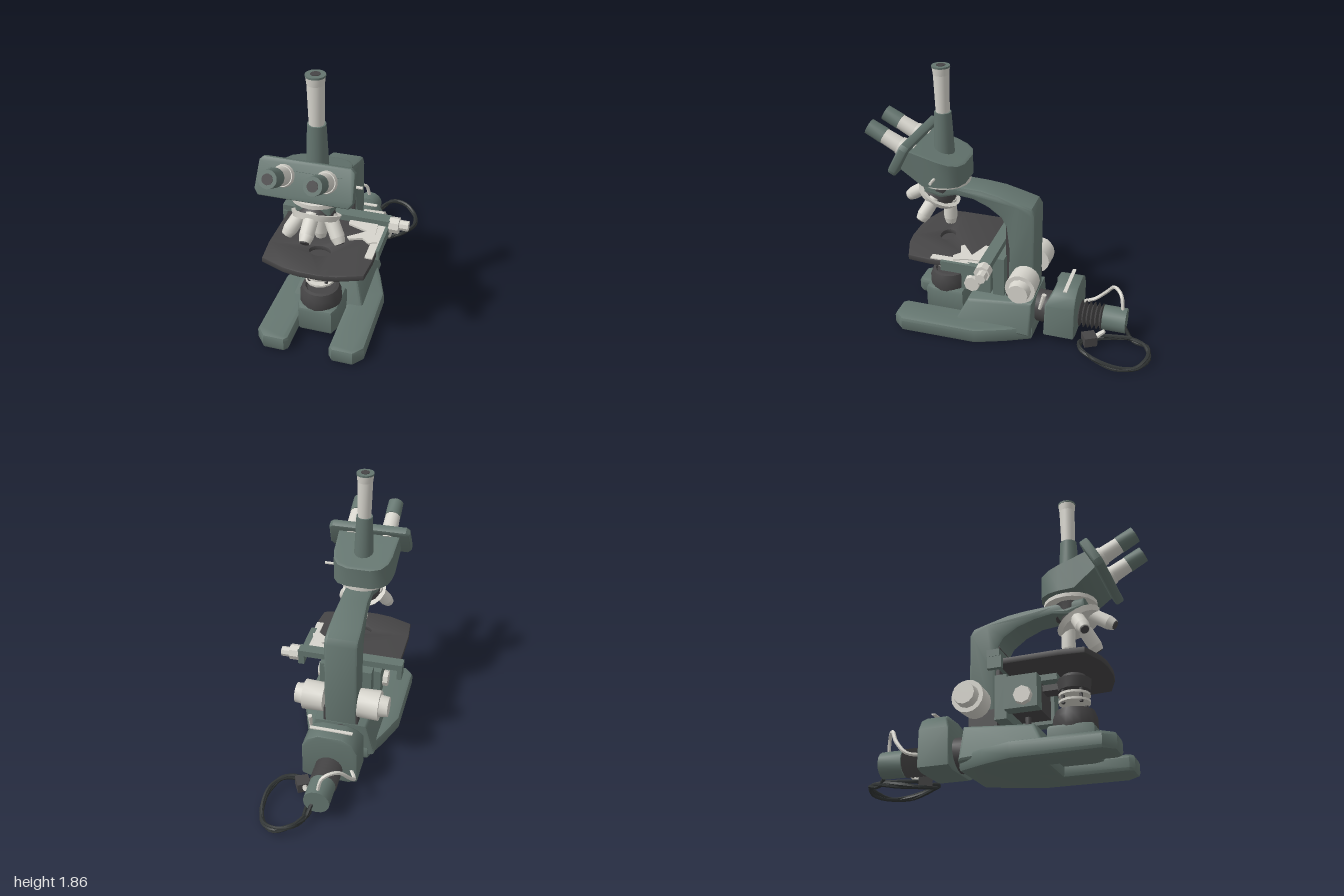
import * as THREE from 'three';
import { toCreasedNormals } from 'three/addons/utils/BufferGeometryUtils.js';

const paint = (name, color) => Object.assign(new THREE.MeshStandardMaterial({ color }), { name });

export function createModel() {
  const green = paint('enamel green', 0x64756f);
  const dark = paint('dark grey', 0x464546);
  const light = paint('pale metal', 0xd6d4cc);
  const black = paint('cable black', 0x303434);

  const model = new THREE.Group();
  model.name = 'microscope';
  const body = new THREE.Group();
  body.name = 'body';
  body.position.x = -0.055; // optical axis sits left of the overall centre
  model.add(body);

  const V = (x, y, z) => new THREE.Vector3(x, y, z);
  const add = (name, geo, mat, x = 0, y = 0, z = 0) => {
    const m = new THREE.Mesh(toCreasedNormals(geo, 0.7), mat);
    m.name = name;
    m.position.set(x, y, z);
    body.add(m);
    return m;
  };
  // box from its minimum and maximum corners
  const box = (name, mat, x0, x1, y0, y1, z0, z1) => add(name,
    new THREE.BoxGeometry(x1 - x0, y1 - y0, z1 - z0), mat, (x0 + x1) / 2, (y0 + y1) / 2, (z0 + z1) / 2);
  // tapered cylinder between two points
  const rod = (name, mat, a, b, r0, r1 = r0, seg = 14) => {
    const d = b.clone().sub(a);
    const m = add(name, new THREE.CylinderGeometry(r1, r0, d.length(), seg), mat);
    m.position.copy(a).addScaledVector(d, 0.5);
    m.quaternion.setFromUnitVectors(V(0, 1, 0), d.normalize());
    return m;
  };
  const shape = pts => new THREE.Shape(pts.map(p => new THREE.Vector2(...p)));
  const mirror = pts => [...pts, ...pts.slice().reverse().map(([x, z]) => [-x, z])];
  const extrude = (s, depth, bevel) => new THREE.ExtrudeGeometry(s, {
    depth: depth - 2 * bevel, bevelEnabled: bevel > 0, bevelSize: bevel, bevelThickness: bevel,
    bevelOffset: -bevel, bevelSegments: 2, curveSegments: 12,
  }).translate(0, 0, bevel);
  // (x, z) outline extruded from y0 to y1
  const plan = (s, y0, y1, bevel = 0) => extrude(s, y1 - y0, bevel).rotateX(Math.PI / 2).translate(0, y1, 0);
  // (z, y) outline extruded across x, centred
  const profile = (s, w, bevel = 0) => extrude(s, w, bevel).rotateY(-Math.PI / 2).translate(w / 2, 0, 0);
  const warp = (geo, fn) => {
    const p = geo.attributes.position, v = V(0, 0, 0);
    for (let i = 0; i < p.count; i++) {
      fn(v.fromBufferAttribute(p, i));
      p.setXYZ(i, v.x, v.y, v.z);
    }
    return geo;
  };
  const clamp = THREE.MathUtils.clamp, lerp = THREE.MathUtils.lerp;

  // forked foot
  add('foot', plan(shape(mirror([[0.135, 0.38], [0.135, 0.78], [0.16, 0.81], [0.3, 0.81],
    [0.36, 0.74], [0.355, 0.2], [0.28, 0], [0.2, -0.17]])), 0, 0.11, 0.025), green);
  // raised rear block, narrowing upwards
  add('baseBlock', warp(profile(shape([[0.38, 0.09], [0.3, 0.25], [-0.16, 0.29], [-0.165, 0.05]]), 0.46, 0.02), v => {
    v.x *= lerp(1.08, 0.8, clamp((v.y - 0.1) / 0.18, 0, 1));
  }), green);

  // field lamp in the fork
  add('lampBlock', plan(shape(mirror([[0.135, 0.36], [0.135, 0.58], [0.11, 0.64]])), 0.06, 0.25, 0.025), green);
  add('fieldLens', new THREE.LatheGeometry([[0, 0.2], [0.125, 0.2], [0.137, 0.25], [0.137, 0.31], [0.12, 0.355],
    [0.1, 0.36], [0.09, 0.345], [0, 0.345]].map(p => new THREE.Vector2(...p)), 18), dark, 0, 0, 0.5);

  // curved arm, slimmer along its top
  const armPts = [[-0.155, 0.27], [-0.157, 0.93], [-0.13, 0.975], [-0.04, 1.0], [0.1, 1.04], [0.22, 1.058], [0.4, 1.065],
    [0.62, 1.07], [0.62, 1.0], [0.5, 0.97], [0.4, 0.995], [0.28, 0.98], [0.17, 0.94], [0.08, 0.88], [0.045, 0.82],
    [0.025, 0.65], [0.03, 0.27]];
  add('arm', warp(profile(shape(armPts), 0.23, 0.022), v => {
    v.x *= v.z < 0.35 ? lerp(1, 0.78, clamp(v.z / 0.3, 0, 1)) : lerp(0.78, 1, clamp((v.z - 0.35) / 0.15, 0, 1));
  }), green);
  box('columnPanel', dark, -0.1, 0.1, 0.35, 0.83, 0.025, 0.046);
  box('columnFoot', dark, -0.12, 0.12, 0.28, 0.4, -0.15, 0.04);

  // focus knobs
  for (const s of [-1, 1]) {
    rod('coarseKnob', light, V(s * 0.12, 0.45, -0.1), V(s * 0.265, 0.45, -0.1), 0.1, 0.105, 16);
    rod('fineKnob', light, V(s * 0.26, 0.45, -0.1), V(s * 0.325, 0.45, -0.1), 0.078, 0.07, 12);
    // stage carrier cheeks
    box('carrierCheek', green, Math.min(s * 0.13, s * 0.22), Math.max(s * 0.13, s * 0.22), 0.35, 0.56, 0.12, 0.33);
    rod('condenserKnob', light, V(s * 0.21, 0.42, 0.245), V(s * 0.255, 0.42, 0.245), 0.06, 0.055, 8);
  }
  box('carrier', green, -0.17, 0.17, 0.31, 0.6, 0.04, 0.12);
  box('carrierArm', green, -0.1, 0.1, 0.55, 0.595, 0.1, 0.42);
  rod('carrierPin', dark, V(0, 0.26, 0.2), V(0, 0.36, 0.2), 0.02);
  box('carrierCore', dark, -0.12, 0.12, 0.37, 0.55, 0.1, 0.31);

  // stage with its light opening
  const stage = shape(mirror([[0.34, 0.13], [0.345, 0.5], [0.33, 0.66], [0.17, 0.72], [0.07, 0.735]]));
  const opening = new THREE.Path();
  opening.absellipse(0, 0.5, 0.07, 0.05, 0, Math.PI * 2);
  stage.holes.push(opening);
  add('stage', plan(stage, 0.59, 0.63, 0.006), dark);
  box('stageRail', green, -0.375, 0.365, 0.635, 0.68, 0.07, 0.15);
  box('railEndLeft', green, 0.32, 0.362, 0.57, 0.64, 0.07, 0.42);
  box('railEndRight', green, -0.372, -0.34, 0.56, 0.64, 0.07, 0.16);
  box('stageSlide', light, 0.29, 0.34, 0.632, 0.64, 0.15, 0.5);
  // slide clip
  add('slideClip', plan(shape([[0.1, 0.15], [0.29, 0.15], [0.3, 0.26], [0.33, 0.34], [0.28, 0.36], [0.23, 0.32],
    [0.15, 0.35], [0.13, 0.33], [0.24, 0.24], [0.1, 0.19]]), 0.633, 0.648), light);
  rod('stageKnobInner', light, V(0.36, 0.635, 0.11), V(0.425, 0.635, 0.11), 0.055, 0.055, 8);
  rod('stageKnobOuter', light, V(0.42, 0.635, 0.1), V(0.485, 0.635, 0.1), 0.035, 0.035, 8);

  // condenser
  rod('condenserTop', dark, V(0, 0.55, 0.5), V(0, 0.6, 0.5), 0.095, 0.07);
  rod('condenserBody', dark, V(0, 0.49, 0.5), V(0, 0.56, 0.5), 0.1, 0.11);
  for (const y of [0.41, 0.455]) rod('condenserRing', light, V(0, y, 0.5), V(0, y + 0.015, 0.5), 0.1);
  for (let i = 0; i < 4; i++) {
    const a = (i + 0.5) * Math.PI / 2;
    const x = Math.cos(a) * 0.08, z = 0.5 + Math.sin(a) * 0.08;
    rod('condenserPost', dark, V(x, 0.4, z), V(x, 0.5, z), 0.012, 0.012, 6);
  }
  box('condenserBracket', dark, -0.05, 0.05, 0.5, 0.54, 0.3, 0.43);

  // revolving nosepiece with four objectives
  const tilt = 0.49, hub = V(0, 0.95, 0.555);
  const axis = V(0, -Math.cos(tilt), Math.sin(tilt)), front = V(0, Math.sin(tilt), Math.cos(tilt));
  rod('noseMount', dark, V(0, 1.07, 0.5), V(0, 1.0, 0.51), 0.12, 0.11);
  rod('noseHousing', dark, hub.clone().addScaledVector(axis, -0.07), hub, 0.1, 0.13);
  rod('noseRing', light, hub.clone().addScaledVector(axis, -0.015), hub.clone().addScaledVector(axis, 0.02), 0.155, 0.14, 18);
  for (let i = 0; i < 4; i++) {
    const out = front.clone().multiplyScalar(Math.cos(i * Math.PI / 2)).add(V(Math.sin(i * Math.PI / 2), 0, 0));
    if (i % 2 === 0) out.x = 0;
    else out.set(Math.sin(i * Math.PI / 2), 0, 0);
    const start = hub.clone().addScaledVector(out, 0.09);
    const dir = axis.clone().multiplyScalar(Math.cos(tilt)).addScaledVector(out, Math.sin(tilt));
    const at = t => start.clone().addScaledVector(dir, t);
    rod('objectiveBarrel', light, at(-0.01), at(0.13), 0.046, 0.046, 12);
    rod('objectiveNose', light, at(0.13), at(0.172), 0.046, 0.034, 12);
    rod('objectiveTip', dark, at(0.172), at(0.178), 0.028, 0.026, 12);
  }

  // viewing head: plan outline with sloping top and front underside
  rod('headMount', light, V(0, 1.065, 0.5), V(0, 1.093, 0.5), 0.172, 0.172, 20);
  const headPlan = mirror([[0.08, 0.33], [0.15, 0.355], [0.19, 0.41], [0.205, 0.48], [0.21, 0.58], [0.22, 0.72]]);
  add('head', warp(plan(shape(headPlan), 0, 1, 0.02), v => {
    const low = 1.09 + 0.11 * clamp((v.z - 0.58) / 0.14, 0, 1);
    v.y = lerp(low, 1.235 + 0.3 * (v.z - 0.33), v.y);
  }), green);
  const lean = 0.48;
  const plate = add('eyepiecePlate', extrude(shape([[-0.27, -0.115], [0.27, -0.115], [0.295, -0.08], [0.285, 0.09],
    [0.26, 0.115], [-0.26, 0.115], [-0.285, 0.09], [-0.295, -0.08]]), 0.06, 0.012), green, 0, 1.275, 0.69);
  plate.rotation.x = -lean;
  rod('headLever', light, V(0.2, 1.155, 0.5), V(0.275, 1.155, 0.5), 0.01, 0.01, 8);

  // binocular eyepieces
  for (const x of [-0.127, 0.127]) {
    const at = t => V(x, 1.44 - t * Math.sin(lean), 0.97 - t * Math.cos(lean));
    rod('eyepieceTube', light, at(0.33), at(0.1), 0.06, 0.052, 16);
    rod('eyepieceCollar', light, at(0.29), at(0.235), 0.072, 0.062, 16);
    rod('eyepieceCap', green, at(0.12), at(0), 0.056, 0.054, 16);
    rod('eyepieceLens', dark, at(0.01), at(-0.004), 0.032, 0.032, 12);
  }

  // vertical photo tube
  rod('photoTubeBase', green, V(0, 1.24, 0.5), V(0, 1.55, 0.5), 0.07, 0.056, 16);
  rod('photoTube', light, V(0, 1.55, 0.5), V(0, 1.8, 0.5), 0.046, 0.052, 16);
  rod('photoTubeLip', light, V(0, 1.8, 0.5), V(0, 1.85, 0.5), 0.052, 0.058, 16);
  rod('photoTubeRim', green, V(0, 1.848, 0.5), V(0, 1.86, 0.5), 0.06, 0.06, 16);
  rod('photoTubeLens', dark, V(0, 1.855, 0.5), V(0, 1.863, 0.5), 0.03, 0.03, 12);

  // rear lamp housing, bellows and socket
  rod('lampCoupling', dark, V(0, 0.165, -0.15), V(0, 0.165, -0.27), 0.115, 0.115, 16);
  const rear = [[-0.19, 0.06], [-0.13, 0.04], [0.13, 0.04], [0.19, 0.06], [0.19, 0.3], [0.15, 0.37], [0.08, 0.41],
    [-0.08, 0.41], [-0.15, 0.37], [-0.19, 0.3]];
  add('lampHousing', warp(extrude(shape(rear), 0.215, 0.01).translate(0, 0, -0.46), v => {
    if (v.z > -0.35) v.z -= 0.06 * clamp((v.y - 0.28) / 0.13, 0, 1);
  }), green);
  box('housingSlot', light, -0.14, 0.15, 0.408, 0.416, -0.395, -0.37);
  rod('housingLever', light, V(0.19, 0.27, -0.22), V(0.19, 0.39, -0.25), 0.012, 0.016, 8);
  const folds = [];
  for (let i = 0; i <= 12; i++) folds.push(new THREE.Vector2(i % 2 ? 0.095 : 0.062, i * 0.015));
  add('bellows', new THREE.LatheGeometry(folds, 16).rotateX(-Math.PI / 2), dark, 0, 0.155, -0.455);
  rod('socket', green, V(0, 0.155, -0.63), V(0, 0.155, -0.79), 0.088, 0.088, 16);

  // cables
  const tube = (name, mat, pts, r, seg) => add(name,
    new THREE.TubeGeometry(new THREE.CatmullRomCurve3(pts), seg, r, 6), mat);
  tube('socketLead', light, [V(0, 0.22, -0.76), V(-0.03, 0.33, -0.74), V(-0.11, 0.34, -0.68), V(-0.18, 0.24, -0.61),
    V(-0.19, 0.16, -0.53), V(-0.15, 0.15, -0.45)], 0.013, 24);
  const coil = [V(0.03, 0.13, -0.78)];
  for (let i = 0; i <= 30; i++) {
    const a = Math.PI * (1.15 + i / 5), k = 0.97 + 0.03 * Math.sin(i * 2.1);
    coil.push(V(0.21 + 0.165 * k * Math.cos(a), 0.045 + 0.025 * Math.sin(i * 1.3), -0.745 + 0.245 * k * Math.sin(a)));
  }
  coil.push(V(0.1, 0.06, -0.6), V(0.15, 0.06, -0.56));
  tube('powerCable', black, coil, 0.013, 140);
  const plug = box('plug', dark, 0.11, 0.2, 0.03, 0.1, -0.61, -0.52);
  plug.rotation.y = 0.5;
  rod('plugPin', light, V(0.13, 0.07, -0.6), V(0.11, 0.12, -0.66), 0.02, 0.015, 8);

  return model;
}
